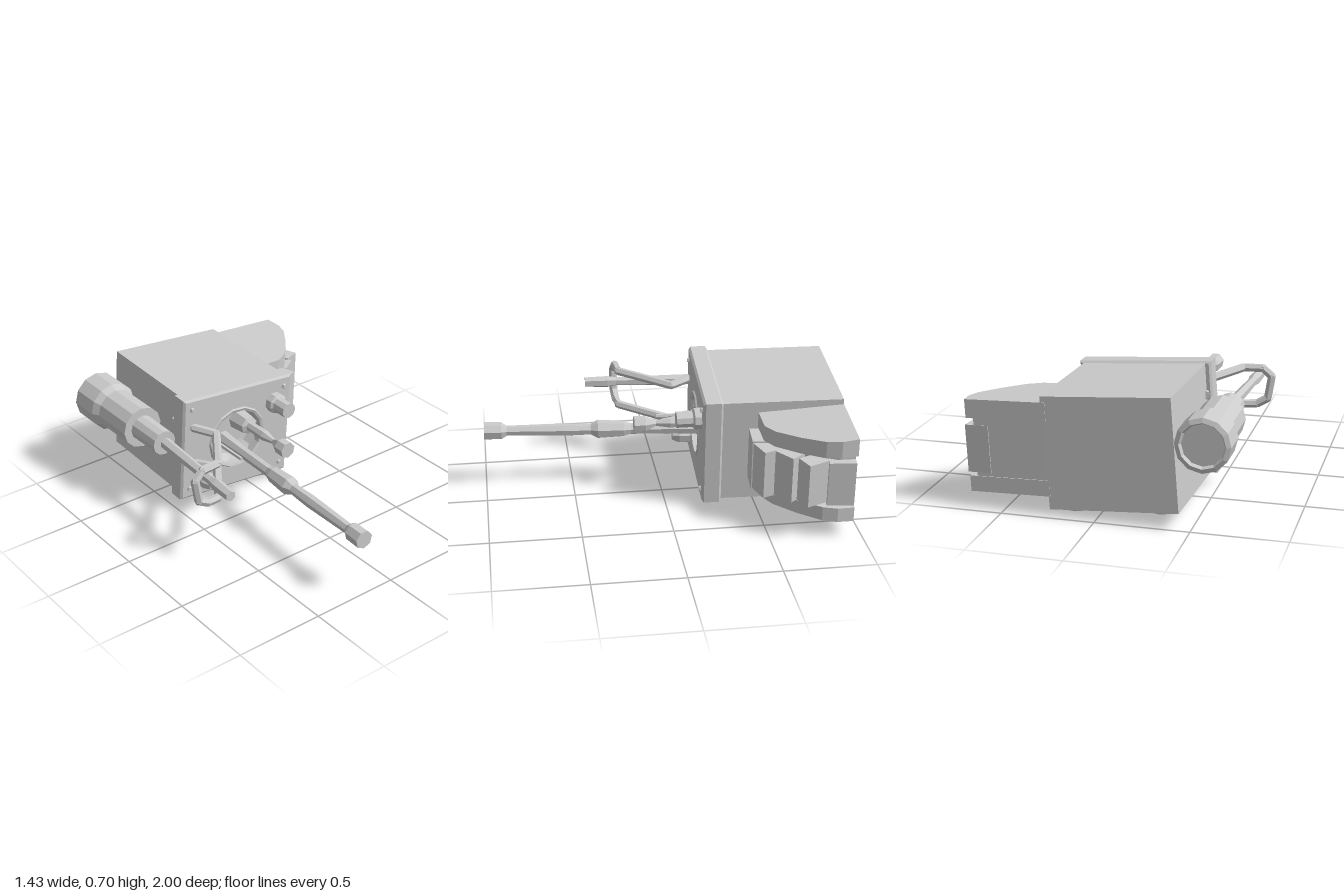
import * as THREE from 'three';

const material = new THREE.MeshStandardMaterial({ color: 0xcccccc, flatShading: true, side: THREE.DoubleSide });

function add(parent, name, geometry, x = 0, y = 0, z = 0) {
  const mesh = new THREE.Mesh(geometry, material);
  mesh.name = name;
  mesh.position.set(x, y, z);
  parent.add(mesh);
  return mesh;
}

// Turned part along z, from [radius, z] pairs, closed at both ends
function turned(profile, sides) {
  const pts = [[0, profile[0][1]], ...profile, [0, profile[profile.length - 1][1]]];
  return new THREE.LatheGeometry(pts.map(([r, z]) => new THREE.Vector2(r, z)), sides).rotateX(Math.PI / 2);
}

// Flat slab from [x, z] outline between two heights
function slab(outline, y0, y1) {
  const shape = new THREE.Shape(outline.map(([x, z]) => new THREE.Vector2(x, -z)));
  return new THREE.ExtrudeGeometry(shape, { depth: y1 - y0, bevelEnabled: false })
    .rotateX(-Math.PI / 2).translate(0, y0, 0);
}

// Straight bar between two points
function bar(parent, name, a, b, radius, sides = 6) {
  const from = new THREE.Vector3(...a), to = new THREE.Vector3(...b);
  const dir = to.clone().sub(from);
  const mesh = add(parent, name, new THREE.CylinderGeometry(radius, radius, dir.length(), sides));
  mesh.position.copy(from).add(to).multiplyScalar(0.5);
  mesh.quaternion.setFromUnitVectors(new THREE.Vector3(0, 1, 0), dir.normalize());
}

function buildCase() {
  const g = new THREE.Group();
  g.name = 'case';
  g.position.set(-0.095, 0.38, -0.6);
  g.rotation.set(0, -0.035, -0.075);
  add(g, 'body', new THREE.BoxGeometry(0.685, 0.6, 0.675), 0.005, 0, -0.047);

  // Front plate with round recess
  const w = 0.357, h = 0.3;
  const shape = new THREE.Shape([[-w, -h], [w, -h], [w, h], [-w, h]].map(p => new THREE.Vector2(...p)));
  const hole = new THREE.Path();
  hole.absarc(0, 0, 0.185, 0, Math.PI * 2, true);
  shape.holes.push(hole);
  add(g, 'frontPlate', new THREE.ExtrudeGeometry(shape, {
    depth: 0.085, bevelThickness: 0.012, bevelSize: 0.012, bevelSegments: 1, curveSegments: 7,
  }), 0, 0, 0.295);
  add(g, 'recessRim', new THREE.TorusGeometry(0.18, 0.014, 5, 14), 0, 0, 0.388);
  add(g, 'recessBowl', new THREE.LatheGeometry([[0.12, 0.292], [0.15, 0.3], [0.18, 0.36]]
    .map(p => new THREE.Vector2(...p)), 14).rotateX(Math.PI / 2));

  // Corner screws
  for (const sx of [-1, 1]) for (const sy of [-1, 1])
    add(g, 'screw', turned([[0.017, 0], [0.012, 0.015]], 5), sx * 0.315, sy * 0.25, 0.39);

  // Underside pad and feet
  const pad = add(g, 'bottomPad', new THREE.CylinderGeometry(0.17, 0.15, 0.035, 14), 0.03, -0.312, 0.04);
  pad.scale.x = 0.95;
  add(g, 'bottomNub', new THREE.CylinderGeometry(0.06, 0.03, 0.03, 8), 0.05, -0.343, 0.04);
  for (const x of [-0.23, 0.23]) {
    add(g, 'rearFoot', new THREE.CylinderGeometry(0.075, 0.065, 0.03, 10), x, -0.31, -0.27);
    const foot = add(g, 'frontFoot', new THREE.CylinderGeometry(0.075, 0.065, 0.03, 10), x, -0.315, 0.3);
    foot.scale.x = 1.3;
  }
  return g;
}

function buildSideHousing() {
  const g = new THREE.Group();
  g.name = 'sideHousing';
  g.position.set(0, 0.385, 0);
  g.rotation.z = -0.045;
  const outline = [[0.25, -0.5], [0.42, -0.5], [0.5, -0.545], [0.6, -0.66], [0.68, -0.78], [0.7, -0.86], [0.69, -0.952], [0.25, -0.975]];
  const inner = [[0.25, -0.52], [0.4, -0.52], [0.5, -0.6], [0.6, -0.75], [0.65, -0.86], [0.65, -0.95], [0.25, -0.97]];

  // Top and bottom plates grow thicker towards the back
  for (const [name, y0, y1] of [['housingTop', 0.14, 0.235], ['housingBottom', -0.235, -0.155]]) {
    const geo = slab(outline, y0, y1);
    const p = geo.attributes.position;
    for (let i = 0; i < p.count; i++) p.setY(i, p.getY(i) * (1 - 0.28 * (p.getZ(i) + 0.75)));
    geo.computeVertexNormals();
    add(g, name, geo);
  }
  add(g, 'housingCore', slab(inner, -0.18, 0.17));

  // Stepped panels wrapped around the outer curve: start, end, bottom, top
  const panels = [
    [[0.26, -0.45], [0.415, -0.44], -0.17, 0.125],
    [[0.42, -0.445], [0.535, -0.485], -0.16, 0.115],
    [[0.52, -0.545], [0.62, -0.62], -0.15, 0.115],
    [[0.615, -0.65], [0.71, -0.69], -0.135, 0.115],
    [[0.685, -0.8], [0.7, -0.945], -0.145, 0.11],
  ];
  for (const [a, b, y0, y1] of panels) {
    const dx = b[0] - a[0], dz = b[1] - a[1], len = Math.hypot(dx, dz), t = 0.13;
    const nx = dz / len * t, nz = -dx / len * t;
    add(g, 'sidePanel', slab([a, b, [b[0] + nx, b[1] + nz], [a[0] + nx, a[1] + nz]], y0, y1));
  }
  add(g, 'housingFoot', new THREE.CylinderGeometry(0.06, 0.045, 0.07, 8), 0.36, -0.24, -0.83);
  return g;
}

function buildSideCylinder() {
  const g = new THREE.Group();
  g.name = 'sideCylinder';
  g.position.set(-0.555, 0.47, 0);
  add(g, 'barrel', turned([[0.11, -0.975], [0.12, -0.995], [0.145, -0.985], [0.145, -0.81], [0.122, -0.77],
    [0.122, -0.5], [0.075, -0.5], [0.072, -0.28], [0.04, -0.28]], 12));
  const rod = add(g, 'pistonRod', turned([[0.034, -0.3], [0.03, 0], [0.026, 0.2], [0.035, 0.25], [0.03, 0.385]], 6), -0.012);
  rod.rotation.y = -0.06;
  return g;
}

function buildHandle() {
  const g = new THREE.Group();
  g.name = 'handle';
  const path = [[-0.43, 0.54, -0.36], [-0.4, 0.54, -0.22], [-0.33, 0.53, -0.1], [-0.53, 0.555, 0.19], [-0.64, 0.555, 0.2],
    [-0.69, 0.51, 0.205], [-0.67, 0.38, 0.205], [-0.61, 0.345, 0.2], [-0.53, 0.34, 0.19], [-0.33, 0.315, -0.1],
    [-0.4, 0.31, -0.22], [-0.43, 0.31, -0.36]];
  for (let i = 0; i < path.length - 1; i++) {
    bar(g, 'handleBar', path[i], path[i + 1], 0.024);
    if (i) add(g, 'handleJoint', new THREE.IcosahedronGeometry(0.025, 0), ...path[i]);
  }
  return g;
}

export function createModel() {
  const model = new THREE.Group();
  model.add(buildCase(), buildSideHousing(), buildSideCylinder(), buildHandle());

  // Long centre shaft with joint and end knob
  const shaft = add(model, 'longShaft', turned([[0.045, -0.32], [0.034, -0.1], [0.033, 0.16], [0.046, 0.2], [0.055, 0.35],
    [0.032, 0.39], [0.037, 0.55], [0.03, 0.87], [0.05, 0.9], [0.052, 0.998]], 7), -0.148, 0.342, 0);
  shaft.rotation.set(-0.018, -0.052, 0);

  // Short flared shaft and thin peg in the recess
  add(model, 'shortShaft', turned([[0.065, -0.31], [0.055, -0.2], [0.028, -0.19], [0.032, -0.05], [0.016, 0.03],
    [0.046, 0.09], [0.048, 0.155]], 7), -0.025, 0.43, 0);
  add(model, 'peg', turned([[0.013, -0.32], [0.011, 0.005]], 5), -0.235, 0.38, 0);

  // Front knobs
  add(model, 'upperKnob', turned([[0.062, -0.22], [0.06, -0.16], [0.046, -0.15], [0.046, -0.06]], 9), 0.155, 0.525, 0);
  add(model, 'lowerKnob', turned([[0.052, -0.24], [0.05, -0.15], [0.03, -0.11]], 7), -0.35, 0.2, 0);
  return model;
}
